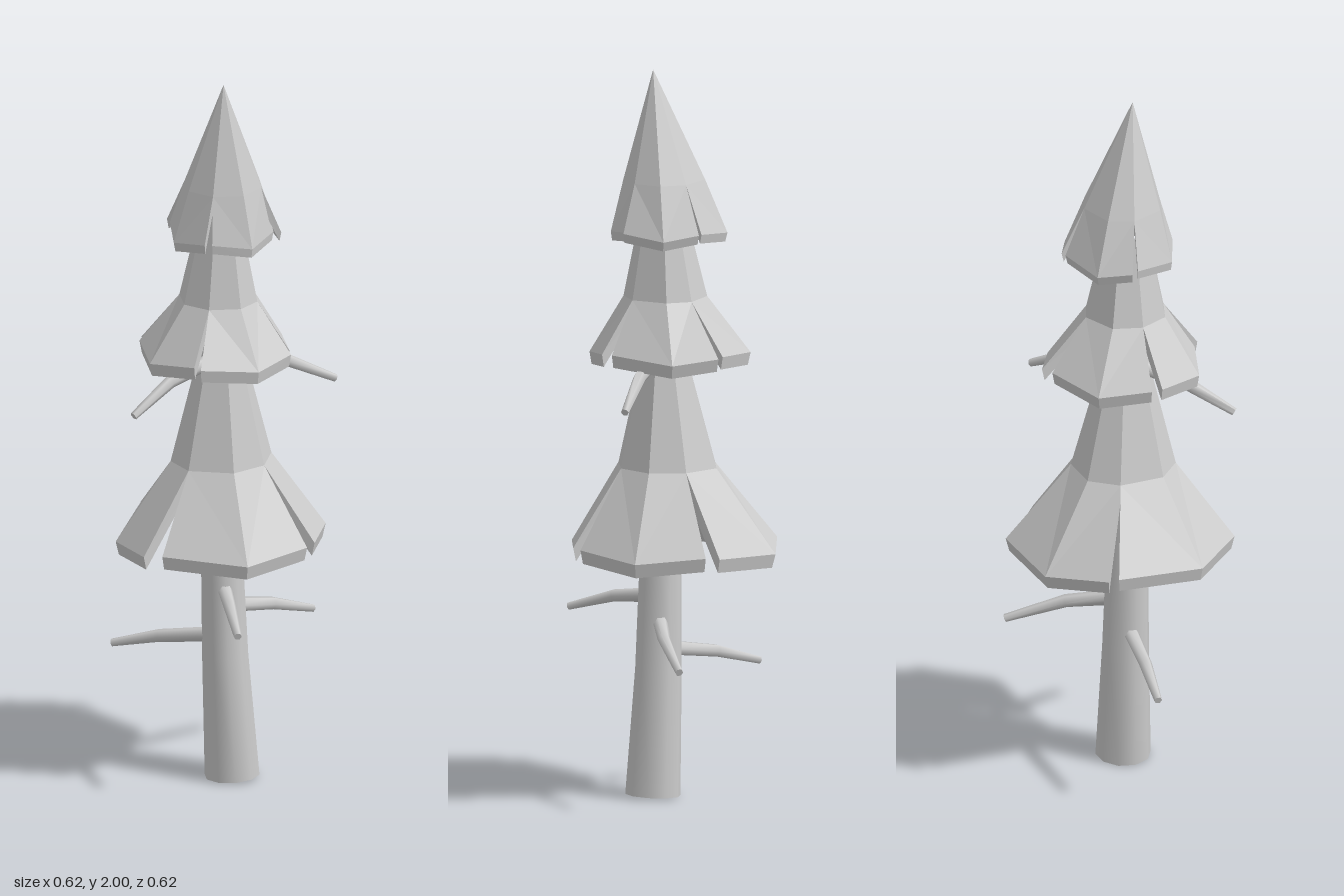
import * as THREE from 'three';
import { toCreasedNormals } from 'three/addons/utils/BufferGeometryUtils.js';

const smoothMat = new THREE.MeshStandardMaterial({ color: 0xcccccc });
const flatMat = new THREE.MeshStandardMaterial({ color: 0xcccccc, flatShading: true });

// Collects quads into an unindexed geometry
function quadBuilder() {
  const pos = [];
  return {
    quad(a, b, c, d) {
      for (const p of [a, b, d, b, c, d]) pos.push(p.x, p.y, p.z);
    },
    build() {
      const g = new THREE.BufferGeometry();
      g.setAttribute('position', new THREE.Float32BufferAttribute(pos, 3));
      g.computeVertexNormals();
      return g;
    },
  };
}

// Tapered limb through stations [x, y, z, radius]
function limb(name, stations, sides) {
  const pts = stations.map(s => new THREE.Vector3(s[0], s[1], s[2]));
  const last = pts.length - 1;
  const rings = pts.map((p, i) => {
    const t = pts[Math.min(i + 1, last)].clone().sub(pts[Math.max(i - 1, 0)]).normalize();
    const ref = Math.abs(t.y) > 0.9 ? new THREE.Vector3(1, 0, 0) : new THREE.Vector3(0, 1, 0);
    const u = ref.cross(t).normalize();
    const v = t.clone().cross(u);
    return Array.from({ length: sides }, (_, j) => {
      const a = (j / sides) * Math.PI * 2;
      return p.clone()
        .addScaledVector(u, Math.cos(a) * stations[i][3])
        .addScaledVector(v, Math.sin(a) * stations[i][3]);
    });
  });
  rings.push(rings[last].map(() => pts[last])); // end cap
  const q = quadBuilder();
  for (let i = 0; i < rings.length - 1; i++) {
    for (let j = 0; j < sides; j++) {
      const k = (j + 1) % sides;
      q.quad(rings[i][j], rings[i][k], rings[i + 1][k], rings[i + 1][j]);
    }
  }
  const mesh = new THREE.Mesh(toCreasedNormals(q.build(), 1.1), smoothMat);
  mesh.name = name;
  return mesh;
}

// Skirt of four thick petals: each has edge, ridge, edge points [x, z] on its rim.
// Petals share their upper edges and part below the middle ring.
function foliageTier({ name, axis, top, mid, rimY, thick, petals }) {
  const q = quadBuilder();
  const at = ([x, z], k, y) =>
    new THREE.Vector3(axis[0] + (x - axis[0]) * k, y, axis[1] + (z - axis[1]) * k);
  const average = (a, b) => [(a[0] + b[0]) / 2, (a[1] + b[1]) / 2];
  const n = petals.length;
  petals.forEach((petal, i) => {
    const before = petals[(i + n - 1) % n][2];
    const after = petals[(i + 1) % n][0];
    const shared = [average(before, petal[0]), petal[1], average(petal[2], after)];
    const columns = petal.map((p, j) => {
      const y = rimY - (j === 1 ? 0.015 : 0);
      return [
        at(shared[j], top.k, top.y),
        at(shared[j], mid.k, mid.y),
        at(p, 1, y),
        at(p, 0.97, y - thick),
        at(shared[j], mid.k * 0.86, mid.y - thick),
        at(shared[j], top.k * 0.6, top.y - 0.06),
      ];
    });
    for (let j = 0; j < 2; j++) {
      const [a, b] = [columns[j], columns[j + 1]];
      for (let r = 0; r < a.length - 1; r++) {
        // mirror the diagonals about the ridge
        if (j) q.quad(a[r], b[r], b[r + 1], a[r + 1]);
        else q.quad(a[r + 1], a[r], b[r], b[r + 1]);
      }
    }
    const [s, , e] = columns;
    q.quad(s[1], s[2], s[3], s[4]);
    q.quad(e[4], e[3], e[2], e[1]);
  });
  const mesh = new THREE.Mesh(q.build(), flatMat);
  mesh.name = name;
  return mesh;
}

export function createModel() {
  const tree = new THREE.Group();
  tree.name = 'tree';

  // Slightly bent trunk, open at the foot
  tree.add(limb('trunk', [
    [0.008, 0, 0.038, 0.076], [-0.01, 0.35, 0.03, 0.064], [-0.02, 0.68, 0.028, 0.057],
    [-0.02, 1.2, 0.028, 0.042], [-0.02, 1.55, 0.035, 0.028],
  ], 10));

  // Bare branches: root height, then elbow and tip positions
  const branches = [
    ['lowerLeftBranch', 0.49, [0.13, 0.455, -0.06], [0.255, 0.395, -0.17]],
    ['lowerRightBranch', 0.405, [-0.18, 0.375, -0.06], [-0.3, 0.335, -0.13]],
    ['lowerFrontBranch', 0.55, [-0.015, 0.535, 0.17], [-0.01, 0.495, 0.305]],
    ['upperLeftBranch', 1.215, [0.16, 1.18, 0.0], [0.3, 1.11, -0.027]],
    ['upperRightBranch', 1.215, [-0.17, 1.17, 0.11], [-0.28, 1.1, 0.18]],
  ];
  for (const [name, y, elbow, tip] of branches) {
    tree.add(limb(name, [[-0.015, y, 0.03, 0.022], [...elbow, 0.018], [...tip, 0.011]], 6));
  }

  // Foliage; petals run back, left side, front, right side
  tree.add(foliageTier({
    name: 'lowerFoliage', axis: [-0.02, 0.025], rimY: 0.7, thick: 0.038,
    top: { k: 0.17, y: 1.27 }, mid: { k: 0.48, y: 0.91 },
    petals: [
      [[-0.21, -0.23], [-0.045, -0.31], [0.17, -0.25]],
      [[0.175, -0.21], [0.275, -0.045], [0.22, 0.15]],
      [[0.195, 0.185], [0.02, 0.28], [-0.205, 0.21]],
      [[-0.255, 0.205], [-0.31, 0.03], [-0.22, -0.2]],
    ],
  }));
  tree.add(foliageTier({
    name: 'middleFoliage', axis: [-0.02, 0.03], rimY: 1.235, thick: 0.035,
    top: { k: 0.27, y: 1.62 }, mid: { k: 0.52, y: 1.375 },
    petals: [
      [[-0.225, -0.08], [-0.13, -0.19], [0.045, -0.195]],
      [[0.08, -0.2], [0.16, -0.1], [0.16, 0.085]],
      [[0.16, 0.115], [0.06, 0.205], [-0.1, 0.215]],
      [[-0.115, 0.19], [-0.225, 0.1], [-0.235, -0.05]],
    ],
  }));
  tree.add(foliageTier({
    name: 'topFoliage', axis: [-0.017, 0.05], rimY: 1.57, thick: 0.025,
    top: { k: 0, y: 2 }, mid: { k: 0.7, y: 1.7 },
    petals: [
      [[-0.155, -0.085], [-0.08, -0.145], [0.055, -0.135]],
      [[0.07, -0.135], [0.135, -0.06], [0.14, 0.06]],
      [[0.12, 0.05], [0.05, 0.145], [-0.06, 0.145]],
      [[-0.08, 0.14], [-0.155, 0.065], [-0.15, -0.06]],
    ],
  }));
  return tree;
}
